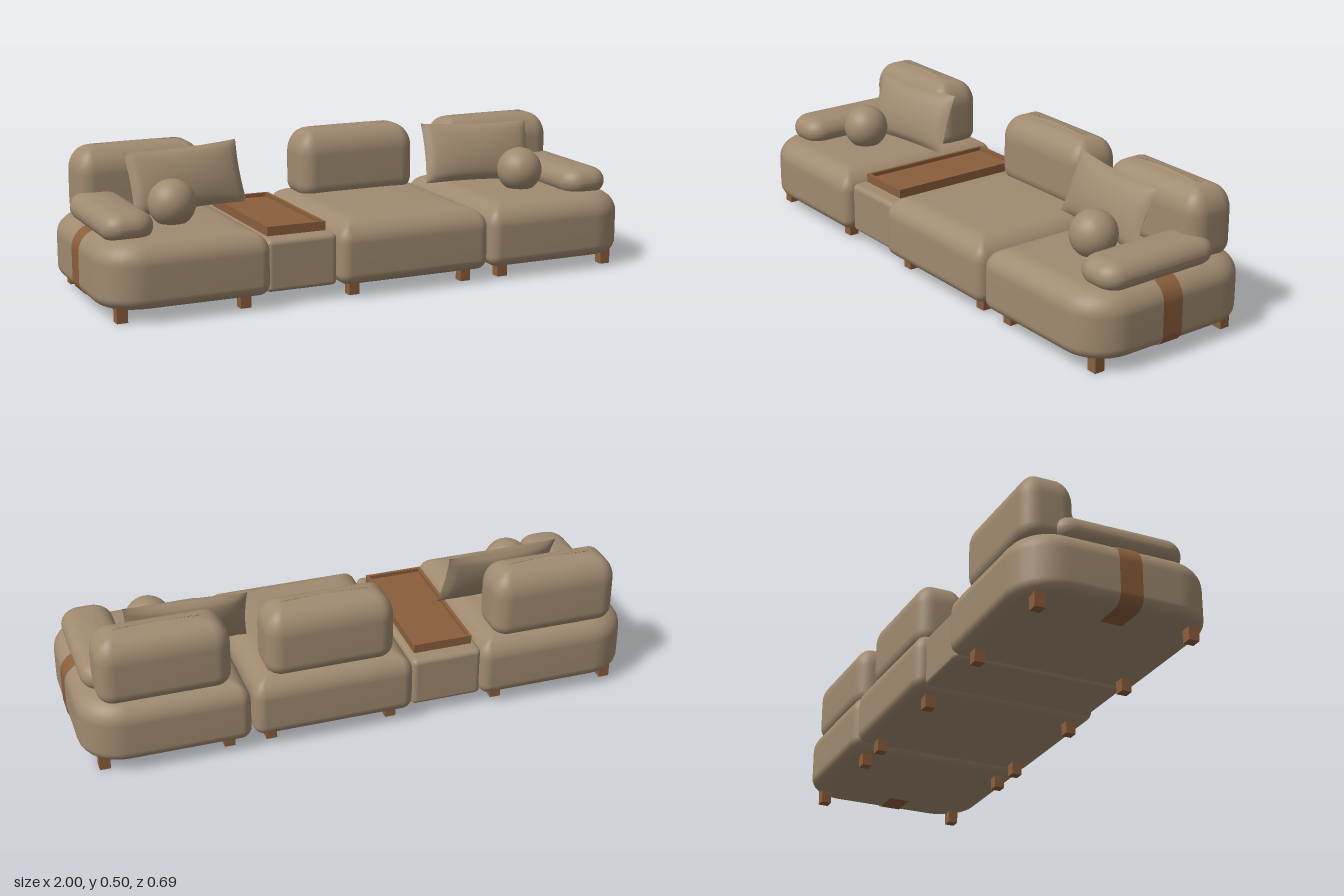
import * as THREE from 'three';
import { mergeGeometries } from 'three/addons/utils/BufferGeometryUtils.js';

const fabric = new THREE.MeshStandardMaterial({ color: 0xa08a70 });
fabric.name = 'taupe fabric';
const wood = new THREE.MeshStandardMaterial({ color: 0x8b5e3c });
wood.name = 'brown wood and leather';

// Points of a rounded rectangle; radii go +x+z, -x+z, -x-z, +x-z
function outline(w, d, radii, inset) {
  const points = [], steps = 8;
  [[1, 1], [-1, 1], [-1, -1], [1, -1]].forEach(([sx, sz], c) => {
    const r = Math.max(radii[c] - inset, radii[c] * 0.3);
    for (let i = 0; i <= steps; i++) {
      const a = (c + i / steps) * Math.PI / 2;
      points.push([
        sx * (w / 2 - inset - r) + r * Math.cos(a),
        sz * (d / 2 - inset - r) + r * Math.sin(a),
      ]);
    }
  });
  return points;
}

// Side profile as [inset, y]; top and bottom roundings are [inwards, height]
function sideProfile(y0, y1, bottom, top) {
  const rows = [], n = 8;
  for (let i = 0; i <= n; i++) {
    const a = i / n * Math.PI / 2;
    rows.push([bottom[0] * (1 - Math.sin(a)), y0 + bottom[1] * (1 - Math.cos(a))]);
  }
  for (let i = 0; i <= n; i++) {
    const a = i / n * Math.PI / 2;
    rows.push([top[0] * (1 - Math.cos(a)), y1 - top[1] * (1 - Math.sin(a))]);
  }
  return rows;
}

// Upholstered block lofted from rounded rectangles, with a slightly domed top
function softBlock({ w, d, y0, y1, radii, bottom, top, crown = 0.004 }) {
  const rows = sideProfile(y0, y1 - crown, bottom, top).map(([inset, y]) => [1, inset, y]);
  rows.unshift([0, bottom[0], y0]);
  for (const s of [0.9, 0.7, 0.45, 0.2, 0]) rows.push([s, top[0], y1 - crown * s * s]);
  const positions = [], index = [];
  let n = 0;
  for (const [s, inset, y] of rows) {
    const ring = outline(w, d, radii, inset);
    n = ring.length;
    for (const [x, z] of ring) positions.push(x * s, y, z * s);
  }
  for (let j = 0; j < rows.length - 1; j++) {
    for (let i = 0; i < n; i++) {
      const a = j * n + i, b = j * n + (i + 1) % n;
      index.push(a, a + n, b, b, a + n, b + n);
    }
  }
  const g = new THREE.BufferGeometry();
  g.setAttribute('position', new THREE.Float32BufferAttribute(positions, 3));
  g.setIndex(index);
  g.computeVertexNormals();
  return g;
}

// Pillow with pinched edges, made of two bulging faces
function pillowGeometry(hw, hh, thick) {
  const face = new THREE.PlaneGeometry(2, 2, 24, 16);
  const p = face.attributes.position;
  for (let i = 0; i < p.count; i++) {
    const u = p.getX(i), v = p.getY(i);
    const bulge = Math.max(0, (1 - u * u) * (1 - v * v));
    p.setXYZ(i, hw * u * (1 - 0.03 * (1 - v * v)), hh * v * (1 - 0.06 * (1 - u * u)),
      thick * Math.pow(bulge, 0.5));
  }
  face.computeVertexNormals();
  return mergeGeometries([face, face.clone().rotateY(Math.PI)]);
}

// Band that follows the outer side of an end seat, from underneath to the top
function strapGeometry(profile, halfWidth) {
  const path = profile.map(([inset, y], i) => {
    const prev = profile[Math.max(i - 1, 0)], next = profile[Math.min(i + 1, profile.length - 1)];
    const tx = prev[0] - next[0], ty = next[1] - prev[1], l = Math.hypot(tx, ty) || 1;
    return [0.996 - inset + 0.004 * ty / l, y - 0.004 * tx / l];
  });
  path.unshift([0.86, path[0][1]]);
  path.push([0.87, path[path.length - 1][1]]);
  const positions = [], index = [];
  path.forEach(([x, y], i) => {
    positions.push(x, y, halfWidth, x, y, -halfWidth);
    const a = 2 * i;
    if (i) index.push(a - 2, a - 1, a, a - 1, a + 1, a);
  });
  const g = new THREE.BufferGeometry();
  g.setAttribute('position', new THREE.Float32BufferAttribute(positions, 3));
  g.setIndex(index);
  g.computeVertexNormals();
  return g;
}

export function createModel() {
  const model = new THREE.Group();
  model.name = 'modularSofa';
  const add = (name, geometry, material, x = 0, y = 0, z = 0) => {
    const m = new THREE.Mesh(geometry, material);
    m.name = name;
    m.position.set(x, y, z);
    model.add(m);
    return m;
  };

  // Seats: two ends with wide outer corners and one middle
  const seat = { w: 0.58, d: 0.685, y0: 0.045, y1: 0.272, bottom: [0.04, 0.04], top: [0.085, 0.075] };
  const big = 0.15, small = 0.04;
  add('rightEndSeat', softBlock({ ...seat, radii: [small, big, big, small] }), fabric, -0.707);
  add('middleSeat', softBlock({ ...seat, w: 0.575, radii: [small, small, small, small] }), fabric, 0.122);
  add('leftEndSeat', softBlock({ ...seat, radii: [big, small, small, big] }), fabric, 0.707);

  // Back cushions
  const back = softBlock({
    w: 0.46, d: 0.187, y0: 0.255, y1: 0.503, radii: [0.06, 0.06, 0.06, 0.06],
    bottom: [0.035, 0.045], top: [0.08, 0.09],
  });
  for (const x of [-0.705, 0.122, 0.7]) add('backCushion', back, fabric, x, 0, -0.219);

  // Table block with a recessed wooden tray
  add('tableBase', softBlock({
    w: 0.258, d: 0.625, y0: 0.048, y1: 0.229, radii: [0.02, 0.02, 0.02, 0.02],
    bottom: [0.015, 0.015], top: [0.018, 0.018], crown: 0.001,
  }), fabric, -0.295, 0, -0.003);
  const rectangle = (Type, w, h) => {
    const r = new Type();
    r.moveTo(-w / 2, -h / 2);
    r.lineTo(w / 2, -h / 2);
    r.lineTo(w / 2, h / 2);
    r.lineTo(-w / 2, h / 2);
    r.closePath();
    return r;
  };
  const rim = rectangle(THREE.Shape, 0.214, 0.52);
  rim.holes.push(rectangle(THREE.Path, 0.192, 0.498));
  const rimGeometry = new THREE.ExtrudeGeometry(rim, { depth: 0.032, bevelEnabled: false }).rotateX(-Math.PI / 2);
  add('trayRim', rimGeometry, wood, -0.295, 0.23, -0.005);
  add('trayPanel', new THREE.BoxGeometry(0.194, 0.018, 0.5), wood, -0.295, 0.239, -0.005);

  // Armrests, pillows, balls and straps, mirrored on both ends
  const arm = softBlock({
    w: 0.182, d: 0.47, y0: 0.255, y1: 0.352, radii: [0.07, 0.07, 0.07, 0.07],
    bottom: [0.04, 0.042], top: [0.06, 0.05], crown: 0.003,
  });
  const pillow = pillowGeometry(0.213, 0.112, 0.042);
  const ball = new THREE.SphereGeometry(0.082, 32, 24);
  const strap = strapGeometry(sideProfile(0.045, 0.268, seat.bottom, seat.top), 0.04);
  const strapMaterial = wood;
  strapMaterial.side = THREE.DoubleSide;
  for (const s of [-1, 1]) {
    const side = s > 0 ? 'left' : 'right';
    add(side + 'Armrest', arm, fabric, s * 0.873, 0, 0.02);
    const p = add(side + 'Pillow', pillow, fabric, s * 0.574, 0.387, -0.063);
    p.rotation.set(-0.34, -s * 0.085, -s * 0.025, 'YXZ');
    add(side + 'BallCushion', ball, fabric, s * 0.676, 0.336, 0.08);
    const band = add(side + 'Strap', strap, strapMaterial, 0, 0, 0.02);
    if (s < 0) band.scale.x = -1;
  }

  // Legs
  const leg = new THREE.BoxGeometry(0.038, 0.055, 0.037);
  for (const x of [-0.925, -0.495, -0.095, 0.34, 0.49, 0.925]) {
    for (const z of [-0.269, 0.271]) add('leg', leg, wood, x, 0.0275, z);
  }
  return model;
}
